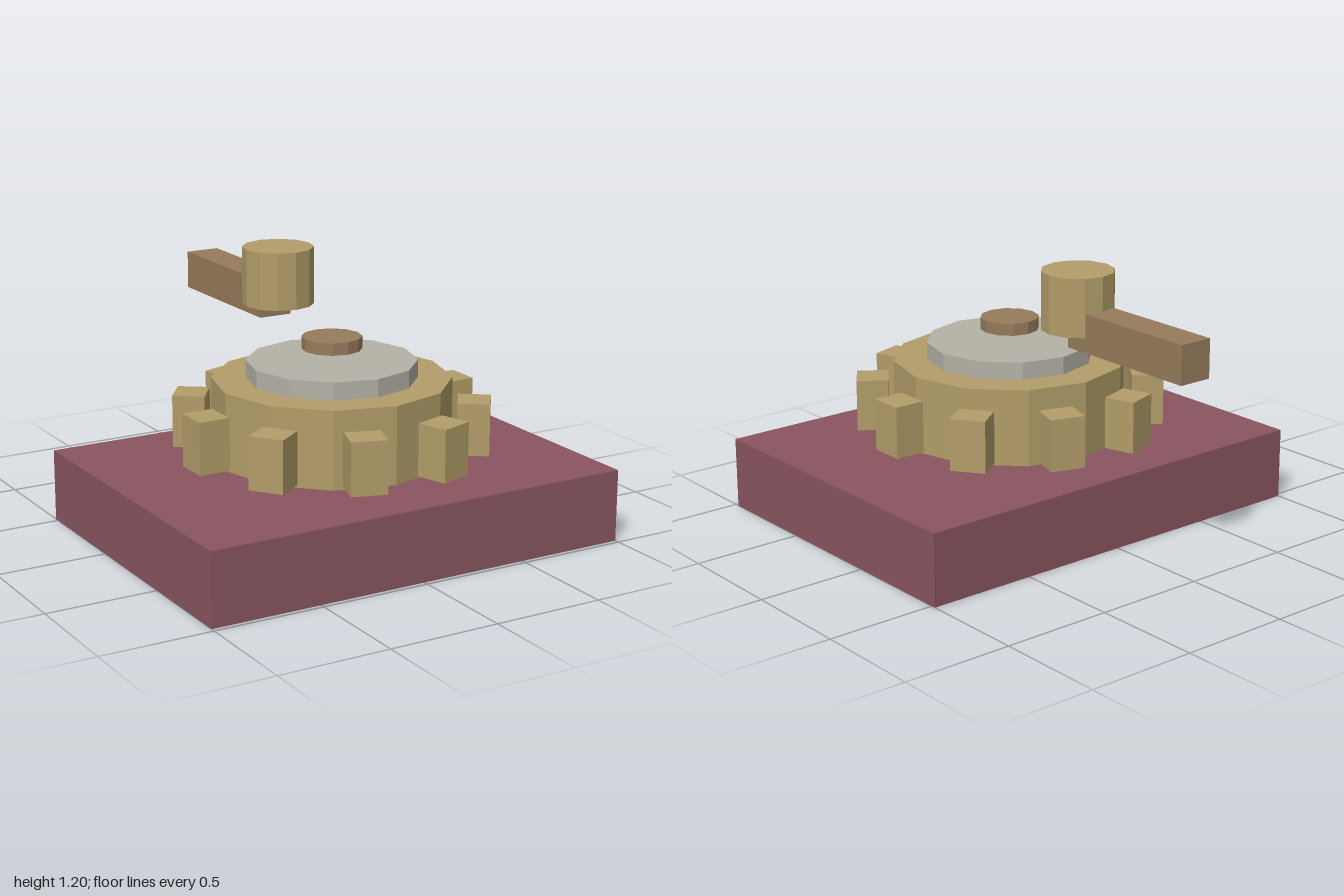
import * as THREE from 'three';

function paint(name, color) {
  const m = new THREE.MeshStandardMaterial({ color, flatShading: true });
  m.name = name;
  return m;
}

export function createModel() {
  const model = new THREE.Group();
  const maroon = paint('maroon', 0x8a5560);
  const brass = paint('brass', 0xb29d69);
  const grey = paint('grey', 0xb5b1a6);
  const brown = paint('brown', 0x967c5c);

  const wheelZ = 0.226;

  function add(name, geometry, material, x, y, z, parent = model) {
    const mesh = new THREE.Mesh(geometry, material);
    mesh.name = name;
    mesh.position.set(x, y, z);
    parent.add(mesh);
    return mesh;
  }

  // Upright twelve-sided drum between two heights
  function drum(name, radius, bottom, top, z, material) {
    const geometry = new THREE.CylinderGeometry(radius, radius, top - bottom, 12);
    return add(name, geometry, material, 0, (bottom + top) / 2, z);
  }

  // Slab base
  add('base', new THREE.BoxGeometry(2, 0.325, 1.5), maroon, 0, 0.1625, wheelZ + 0.003);

  // Stacked wheel
  drum('wheel', 0.527, 0.36, 0.706, wheelZ, brass);
  drum('wheelPlate', 0.376, 0.706, 0.785, wheelZ, grey);
  drum('hubCap', 0.132, 0.835, 0.89, wheelZ, brown);

  // Ring of ten teeth
  const teeth = new THREE.Group();
  teeth.name = 'teeth';
  teeth.position.set(0, 0.505, wheelZ);
  model.add(teeth);
  const toothShape = new THREE.BoxGeometry(0.143, 0.234, 0.157);
  for (let i = 0; i < 10; i++) {
    const a = (i * Math.PI) / 5;
    const tooth = add('tooth', toothShape, brass, 0.621 * Math.cos(a), 0, -0.621 * Math.sin(a), teeth);
    tooth.rotation.y = a;
  }

  // Raised knob with its arm reaching to the back
  drum('knob', 0.162, 0.94, 1.2, -0.244, brass);
  add('arm', new THREE.BoxGeometry(0.157, 0.173, 0.709), brown, 0, 0.96, -0.6255);

  return model;
}
